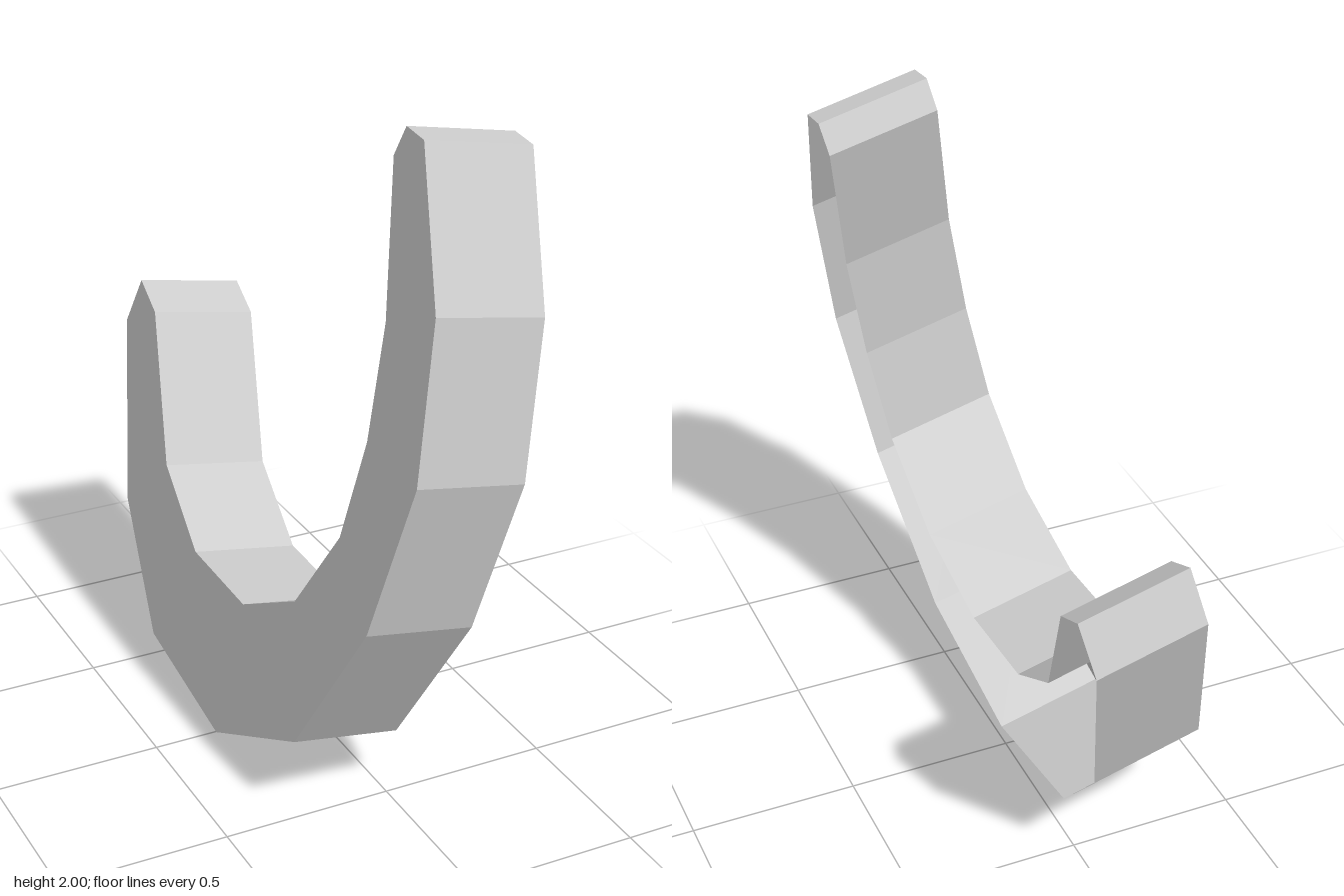
import * as THREE from 'three';

// Crescent outline as (z, y) points: outer curve, short tip, inner curve, tall tip
const OUTLINE = [
  [0.53, 2.0], [0.62, 1.99], [0.815, 1.6], [0.875, 1.17], [0.775, 0.715], [0.525, 0.27],
  [0.1, 0.07], [-0.37, 0.155], [-0.67, 0.47], [-0.85, 0.99],
  [-0.79, 1.14], [-0.67, 1.08], [-0.45, 0.675], [-0.19, 0.51], [0.13, 0.495],
  [0.4, 0.635], [0.565, 0.9], [0.612, 1.19], [0.597, 1.51], [0.495, 1.915],
];

// Sweep of the band across its width
const SWEEP = new THREE.Vector3(0.33, -0.068, -0.021);

// The outline lies on a leaning plane
const onPlane = (z, y) => new THREE.Vector3(-0.366 + 0.181 * y + 0.026 * z, y, z);

export function createModel() {
  const group = new THREE.Group();
  group.name = 'openCrescent';
  const material = new THREE.MeshStandardMaterial({
    color: 0xcccccc, flatShading: true, side: THREE.DoubleSide,
  });

  // Closed side plate, facing -x
  const plate = new THREE.ShapeGeometry(
    new THREE.Shape(OUTLINE.map(([z, y]) => new THREE.Vector2(z, y))));
  const pos = plate.attributes.position;
  for (let i = 0; i < pos.count; i++) {
    const p = onPlane(pos.getX(i), pos.getY(i));
    pos.setXYZ(i, p.x, p.y, p.z);
  }
  plate.computeVertexNormals();
  const plateMesh = new THREE.Mesh(plate, material);
  plateMesh.name = 'sidePlate';
  group.add(plateMesh);

  // Band of flat facets around the outline; the +x side stays open
  const points = [];
  OUTLINE.forEach(([z, y], i) => {
    const next = OUTLINE[(i + 1) % OUTLINE.length];
    const a = onPlane(z, y);
    const b = onPlane(next[0], next[1]);
    const a2 = a.clone().add(SWEEP);
    const b2 = b.clone().add(SWEEP);
    points.push(a, b, b2, a, b2, a2);
  });
  const band = new THREE.BufferGeometry().setFromPoints(points);
  band.computeVertexNormals();
  const bandMesh = new THREE.Mesh(band, material);
  bandMesh.name = 'rimBand';
  group.add(bandMesh);

  return group;
}
